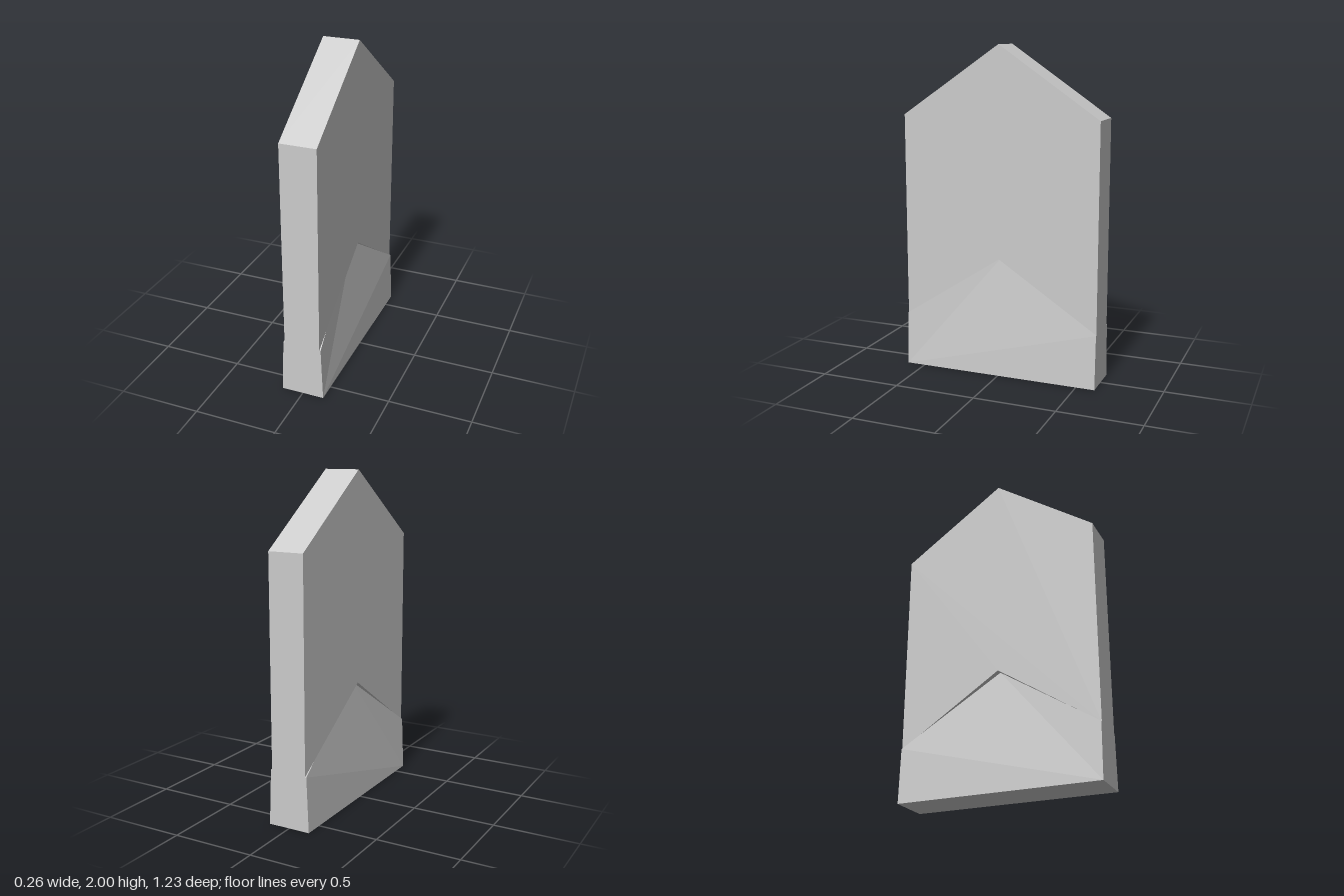
import * as THREE from 'three';

const HALF_DEPTH = 0.615;
const HALF_WIDTH = 0.11;

// Slab from a z/y outline, extruded across x and centred.
function slab(name, points, halfWidth) {
  const shape = new THREE.Shape(points.map(([z, y]) => new THREE.Vector2(z, y)));
  const geometry = new THREE.ExtrudeGeometry(shape, { depth: 2 * halfWidth, bevelEnabled: false });
  geometry.translate(0, 0, -halfWidth);
  geometry.rotateY(Math.PI / 2);
  const mesh = new THREE.Mesh(
    geometry,
    new THREE.MeshStandardMaterial({ color: 0xcccccc, flatShading: true })
  );
  mesh.name = name;
  return mesh;
}

export function createModel() {
  const group = new THREE.Group();
  group.name = 'gabledSlab';

  // Upper slab with a pointed top and a chevron underside
  group.add(slab('upperSlab', [
    [-HALF_DEPTH, 0.33], [0, 0.73], [HALF_DEPTH, 0.33],
    [HALF_DEPTH, 1.58], [0, 2], [-HALF_DEPTH, 1.58],
  ], HALF_WIDTH));

  // Flared foot: wide at the ground, drawn in below the chevron's peak
  const foot = slab('flaredFoot', [
    [-HALF_DEPTH, 0], [HALF_DEPTH, 0], [HALF_DEPTH, 0.33], [0, 0.73], [-HALF_DEPTH, 0.33],
  ], 1);
  const position = foot.geometry.attributes.position;
  for (let i = 0; i < position.count; i++) {
    const y = position.getY(i);
    const halfWidth = y < 0.1 ? 0.131 : y < 0.5 ? 0.118 : 0.072;
    position.setX(i, Math.sign(position.getX(i)) * halfWidth);
  }
  foot.geometry.computeVertexNormals();
  group.add(foot);

  return group;
}
